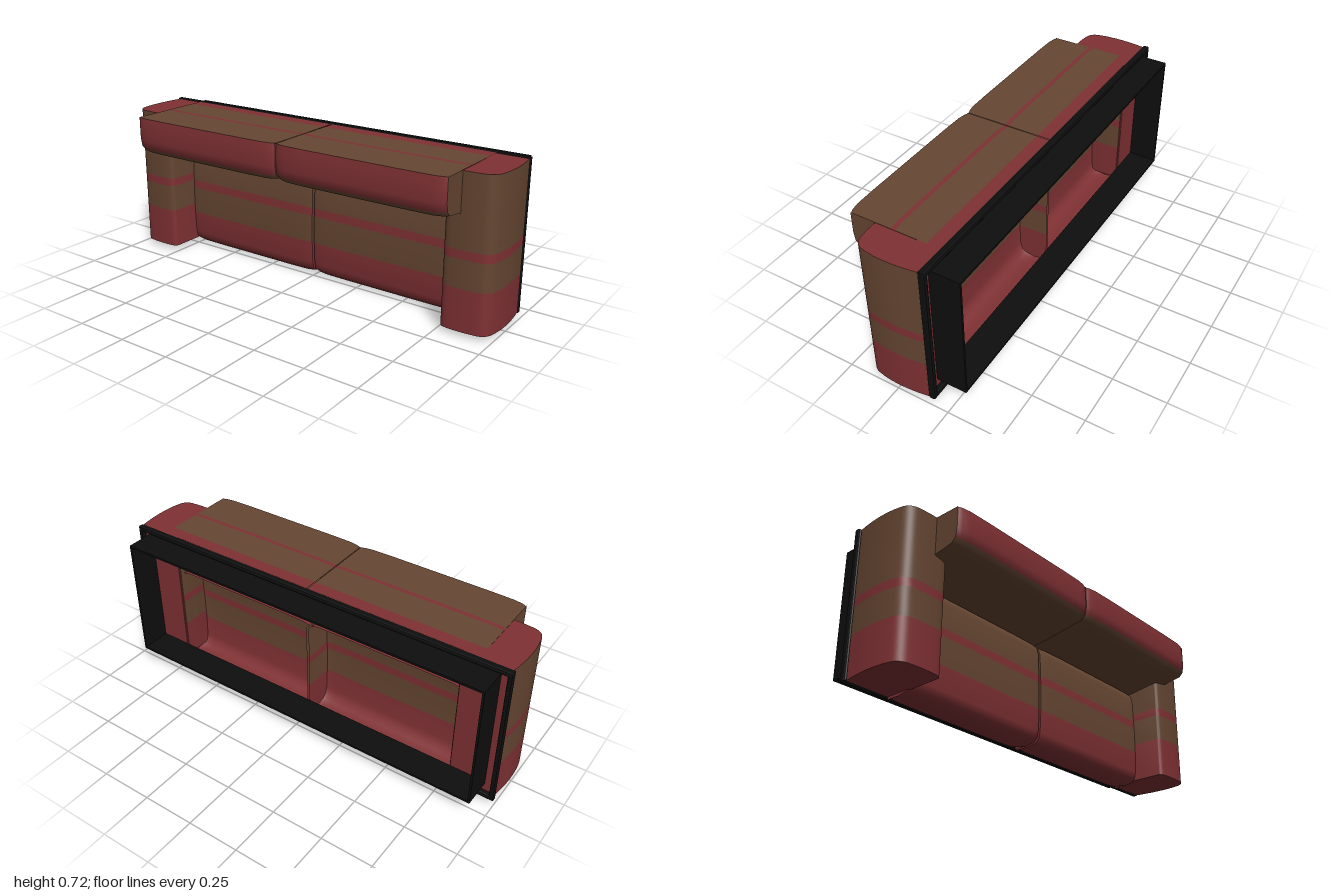
import * as THREE from 'three';
import { toCreasedNormals } from 'three/addons/utils/BufferGeometryUtils.js';

const mat = (name, color) =>
  Object.assign(new THREE.MeshStandardMaterial({ color, side: THREE.DoubleSide }), { name });

export function createModel() {
  const group = new THREE.Group();
  const brown = mat('brown fabric', 0x664632);
  const red = mat('red fabric', 0x803134);
  const black = mat('black frame', 0x0e0e0e);

  const add = (name, geometry, material) => {
    const mesh = new THREE.Mesh(geometry, material);
    mesh.name = name;
    group.add(mesh);
    return mesh;
  };

  // Open-backed cushion: a z/y profile swept along x, shrinking softly at both ends.
  // Each profile point is [z, y, colour of the segment that follows: 0 brown, 1 red].
  function cushion(name, profile, x0, x1, centre, shrink, capPoint, capColour) {
    const stations = [0, 0.008, 0.025, 0.07, 0.2, 0.4, 0.6, 0.8, 0.93, 0.975, 0.992, 1];
    const n = profile.length;
    const pos = [], index = [];
    const geo = new THREE.BufferGeometry();
    const ringPoint = (t, i) => {
      const k = 1 - shrink * Math.pow(Math.abs(2 * t - 1), 14);
      const [z, y] = profile[i];
      return [centre[0] + (z - centre[0]) * k, centre[1] + (y - centre[1]) * k];
    };
    for (const t of stations) {
      for (let i = 0; i < n; i++) {
        const [z, y] = ringPoint(t, i);
        pos.push(x0 + (x1 - x0) * t, y, z);
      }
    }
    for (let i = 0; i < n - 1; i++) {
      const start = index.length;
      for (let s = 0; s < stations.length - 1; s++) {
        const a = s * n + i, b = a + n;
        index.push(a, b, a + 1, b, b + 1, a + 1);
      }
      geo.addGroup(start, index.length - start, profile[i][2]);
    }
    // End walls
    for (const t of [0, 1]) {
      for (let i = 0; i < n - 1; i++) {
        const start = index.length, v = pos.length / 3, x = t ? x1 : x0;
        const p = ringPoint(t, i), q = ringPoint(t, i + 1);
        for (const [z, y] of [p, q, capPoint(q), capPoint(p)]) pos.push(x, y, z);
        index.push(v, v + 1, v + 2, v, v + 2, v + 3);
        geo.addGroup(start, 6, capColour ?? profile[i][2]);
      }
    }
    geo.setAttribute('position', new THREE.Float32BufferAttribute(pos, 3));
    geo.setIndex(index);
    add(name, toCreasedNormals(geo, 0.7), [brown, red]);
  }

  const seatProfile = [
    [-0.145, 0.012, 1], [-0.08, 0, 1], [-0.03, 0.008, 1], [-0.008, 0.025, 1],
    [0, 0.06, 1], [0.005, 0.17, 0], [0.005, 0.305, 1], [0.003, 0.345, 0],
    [0, 0.46, 0], [-0.01, 0.497, 0], [-0.035, 0.515, 1], [-0.125, 0.515, 1],
  ];
  const backProfile = [
    [-0.148, 0.72, 1], [-0.085, 0.72, 0], [0.07, 0.72, 1], [0.09, 0.72, 0],
    [0.294, 0.72, 1], [0.299, 0.68, 1], [0.299, 0.61, 1], [0.292, 0.57, 0],
    [0.27, 0.548, 0], [0.16, 0.53, 0], [0, 0.507, 0], [-0.04, 0.505, 0],
  ];
  for (const side of [-1, 1]) {
    const label = side > 0 ? 'left' : 'right';
    cushion(label + 'SeatCushion', seatProfile, side * 0.006, side * 0.775,
      [-0.145, 0.26], 0.035, ([, y]) => [-0.148, y]);
    cushion(label + 'BackCushion', backProfile, side * 0.002, side * 0.84,
      [-0.148, 0.72], 0.04, ([z]) => [z, 0.72], 0);

    // Arm: rounded outline raised in coloured bands
    const shape = new THREE.Shape();
    shape.moveTo(side * 0.765, 0.148);
    shape.lineTo(side * 0.765, -0.135);
    shape.quadraticCurveTo(side * 0.767, -0.153, side * 0.8, -0.157);
    shape.quadraticCurveTo(side * 0.87, -0.163, side * 0.94, -0.153);
    shape.quadraticCurveTo(side * 0.98, -0.145, side * 0.988, -0.1);
    shape.quadraticCurveTo(side * 1.01, 0, side * 0.985, 0.148);
    const bands = [[0.022, 0.215, red], [0.215, 0.345, brown], [0.345, 0.385, red], [0.385, 0.718, brown]];
    bands.forEach(([y0, y1, m], i) => {
      const geo = new THREE.ExtrudeGeometry(shape, { depth: y1 - y0, bevelEnabled: false, curveSegments: 8 });
      geo.rotateX(-Math.PI / 2).translate(0, y0, 0);
      add(label + 'ArmBand' + (i + 1), toCreasedNormals(geo, 0.7), [red, m]);
    });
  }

  // Rectangular frame with a rectangular opening, lying in the x/y plane
  function frame(outer, inner, z, depth, bevel = 0) {
    const trace = (path, [x0, y0, x1, y1], b) => {
      path.moveTo(x0 + b, y0 + b);
      path.lineTo(x1 - b, y0 + b);
      path.lineTo(x1 - b, y1 - b);
      path.lineTo(x0 + b, y1 - b);
      path.closePath();
      return path;
    };
    const shape = trace(new THREE.Shape(), outer, bevel);
    shape.holes.push(trace(new THREE.Path(), inner, -bevel));
    const geo = new THREE.ExtrudeGeometry(shape, {
      depth: depth - 2 * bevel, bevelEnabled: bevel > 0, bevelThickness: bevel, bevelSize: bevel, bevelSegments: 2,
    });
    return geo.translate(0, 0, z + bevel);
  }
  add('basePanel', frame([-0.98, 0.03, 0.98, 0.712], [-0.77, 0.07, 0.77, 0.695], -0.155, 0.006), red);
  add('baseTrim', frame([-0.995, 0.02, 0.987, 0.722], [-0.973, 0.042, 0.965, 0.7], -0.18, 0.034, 0.008), black);
  add('plinth', frame([-0.94, 0.08, 0.932, 0.69], [-0.93, 0.09, 0.922, 0.68], -0.298, 0.144), black);

  return group;
}
